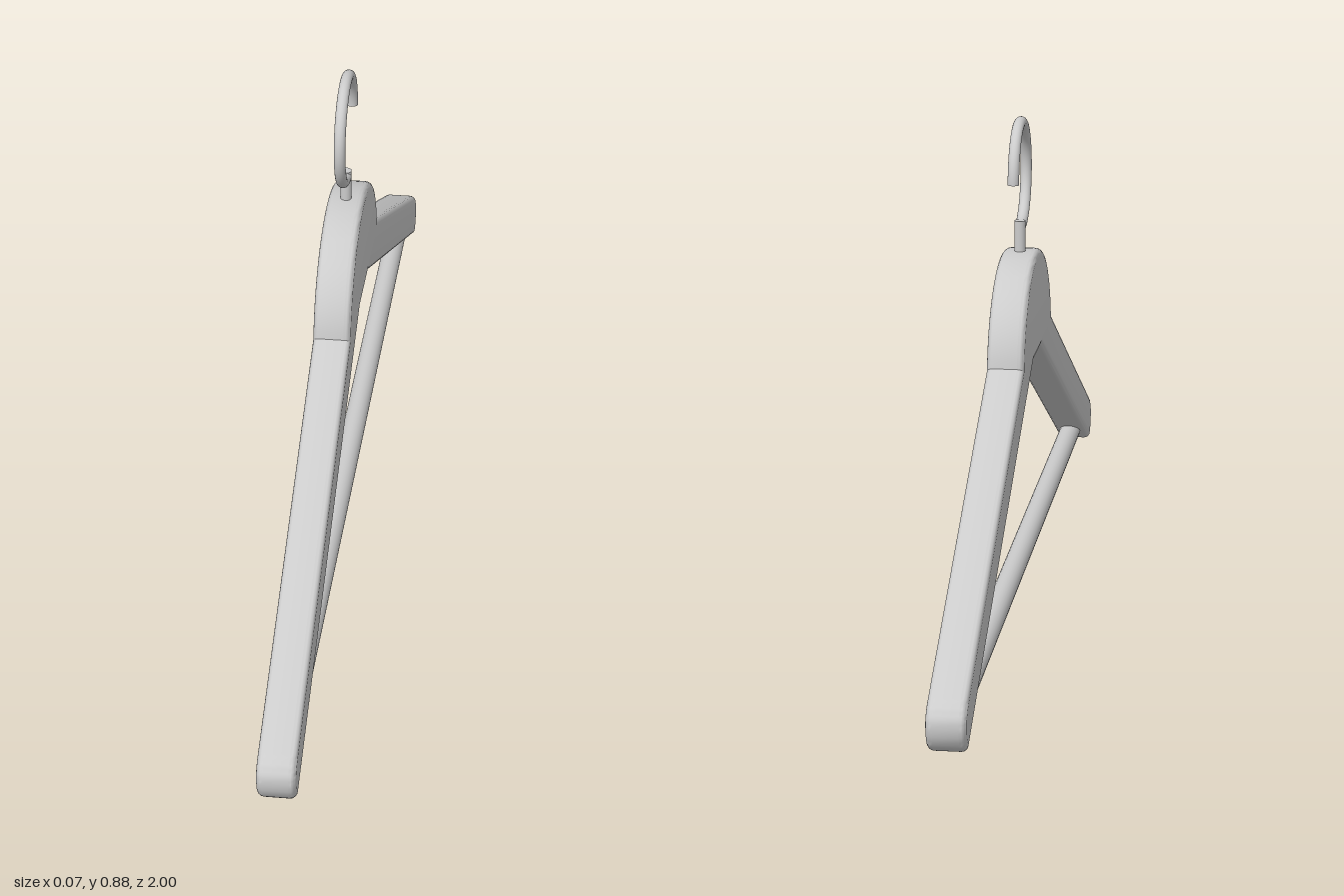
import * as THREE from 'three';
import { toCreasedNormals } from 'three/addons/utils/BufferGeometryUtils.js';

const HALF_WIDTH = 0.034, BEVEL = 0.012;
const RING_Y = 0.768, RING_R = 0.0975, WIRE = 0.0105;

// Half outline of the body (across, up), from the crown centre round to the underside
function halfOutline() {
  const pts = [];
  const start = Math.asin(0.128);
  for (let i = 0; i <= 20; i++) {
    const a = Math.PI / 2 + (start - Math.PI / 2) * (i / 20);
    pts.push(new THREE.Vector2(0.226 * Math.cos(a), 0.43 + 0.195 * Math.sin(a)));
  }
  const tip = new THREE.CurvePath();
  const v = (x, y) => new THREE.Vector2(x, y);
  tip.add(new THREE.CubicBezierCurve(v(0.968, 0.094), v(0.985, 0.086), v(1, 0.071), v(1, 0.053)));
  tip.add(new THREE.CubicBezierCurve(v(1, 0.053), v(1, 0.028), v(0.987, 0.007), v(0.966, 0.001)));
  pts.push(...tip.getPoints(8));
  pts.push(v(0.95, 0.009), v(0.068, 0.429));
  return pts;
}

export function createModel() {
  const group = new THREE.Group();
  const material = new THREE.MeshStandardMaterial({ color: 0xcccccc });
  const add = (name, geometry, parent = group) => {
    const mesh = new THREE.Mesh(geometry, material);
    mesh.name = name;
    parent.add(mesh);
    return mesh;
  };

  // Crown and both sloping arms, one bevelled slab
  const half = halfOutline();
  const mirrored = half.slice(1).reverse().map(p => new THREE.Vector2(-p.x, p.y));
  const slab = new THREE.ExtrudeGeometry(new THREE.Shape([...half, ...mirrored]), {
    depth: 2 * (HALF_WIDTH - BEVEL),
    bevelThickness: BEVEL, bevelSize: BEVEL, bevelOffset: -BEVEL, bevelSegments: 4,
  });
  slab.translate(0, 0, BEVEL - HALF_WIDTH);
  slab.rotateY(-Math.PI / 2);
  add('shoulderBody', toCreasedNormals(slab, 0.42));

  // Trouser bar between the arm tips
  const bar = new THREE.CylinderGeometry(0.021, 0.021, 1.966, 32);
  bar.rotateX(Math.PI / 2);
  add('trouserBar', bar).position.y = 0.038;

  // Wire hook: stem, three-quarter ring and its end cap
  const hook = new THREE.Group();
  hook.name = 'hook';
  hook.rotation.y = -Math.PI / 2;
  group.add(hook);
  add('hookStem', new THREE.CylinderGeometry(WIRE, WIRE, 0.08, 24), hook).position.y = 0.642;
  const ring = new THREE.TorusGeometry(RING_R, WIRE, 20, 72, Math.PI * 1.5);
  ring.rotateZ(-Math.PI / 2);
  add('hookRing', ring, hook).position.y = RING_Y;
  const cap = new THREE.CircleGeometry(WIRE, 20);
  cap.rotateX(Math.PI / 2);
  add('hookTip', cap, hook).position.set(-RING_R, RING_Y, 0);

  return group;
}
